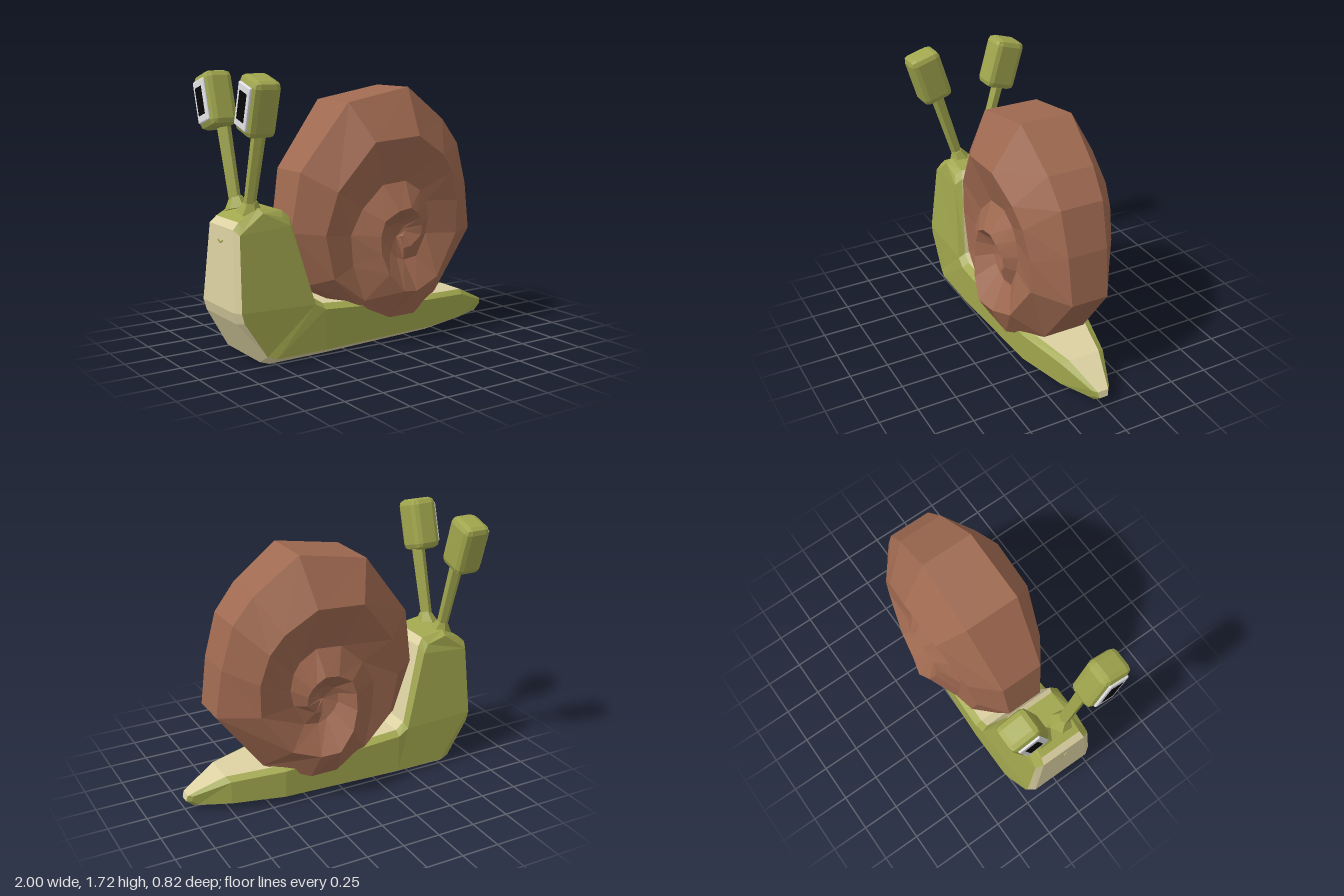
import * as THREE from 'three';
import { RoundedBoxGeometry } from 'three/addons/geometries/RoundedBoxGeometry.js';

const mat = (name, color) => new THREE.MeshStandardMaterial({ name, color, flatShading: true, side: THREE.DoubleSide });

// Collects faces; every face can be mirrored to the other side in z.
class Faces {
  constructor() { this.p = []; }
  tri(a, b, c) { this.p.push(...a, ...b, ...c); }
  quad(a, b, c, d) { this.tri(a, b, c); this.tri(a, c, d); }
  pair(...v) {
    const m = v.map(flip).reverse();
    if (v.length === 3) { this.tri(...v); this.tri(...m); } else { this.quad(...v); this.quad(...m); }
  }
  mesh(name, material) {
    const g = new THREE.BufferGeometry();
    g.setAttribute('position', new THREE.Float32BufferAttribute(this.p, 3));
    g.computeVertexNormals();
    const m = new THREE.Mesh(g, material);
    m.name = name;
    return m;
  }
}
const flip = ([x, y, z]) => [x, y, -z];

// Body outline: outer edge x, y; side panel x, y; half width
const BODY = [
  [-0.84, 0.02, -0.81, 0.055, 0.255], [-0.78, 0, -0.75, 0.035, 0.265],
  [-0.41, 0.005, -0.41, 0.038, 0.268], [0.4, 0.017, 0.4, 0.045, 0.235],
  [0.76, 0.025, 0.74, 0.045, 0.15], [0.95, 0.03, 0.93, 0.045, 0.06],
  [1, 0.07, 0.97, 0.07, 0.05], [0.99, 0.11, 0.96, 0.11, 0.06],
  [0.76, 0.22, 0.74, 0.195, 0.15], [0.4, 0.25, 0.4, 0.225, 0.235],
  [-0.41, 0.32, -0.41, 0.29, 0.268], [-0.47, 0.36, -0.48, 0.33, 0.262],
  [-0.6, 0.86, -0.62, 0.82, 0.21], [-0.64, 0.905, -0.66, 0.87, 0.19],
  [-0.8, 0.93, -0.79, 0.905, 0.19], [-0.93, 0.86, -0.92, 0.82, 0.19],
  [-0.97, 0.82, -0.95, 0.79, 0.2], [-1, 0.34, -0.97, 0.34, 0.25],
  [-0.98, 0.27, -0.955, 0.28, 0.25],
];
// side panel faces, tail to head, as indices into the outline
const SIDE = [
  [5, 6, 7], [4, 5, 7, 8], [3, 4, 8, 9], [2, 3, 9, 10], [1, 2, 10, 11], [0, 1, 11, 17],
  [0, 17, 18], [11, 12, 16, 17], [12, 13, 14, 16], [14, 15, 16],
];

function makeBody(green, cream) {
  const skin = new Faces(), belly = new Faces(), n = BODY.length;
  const outer = BODY.map(([x, y, , , w]) => [x, y, Math.max(w - 0.045, w * 0.6)]);
  const side = BODY.map(([, , x, y, w]) => [x, y, w]);
  for (let i = 0; i < n; i++) {
    const j = (i + 1) % n;
    // bevels are pale along the sole and the face, green elsewhere
    (i < 5 || i > 15 ? belly : skin).pair(outer[i], outer[j], side[j], side[i]);
    // only the crown of the head is green across the middle
    (i === 13 || i === 14 ? skin : belly).quad(outer[i], flip(outer[i]), flip(outer[j]), outer[j]);
  }
  for (const face of SIDE) skin.pair(...face.map((k) => side[k]));
  const g = new THREE.Group();
  g.name = 'body';
  g.add(skin.mesh('bodySkin', green), belly.mesh('bellyAndFoot', cream));
  return g;
}

// Shell: a spiral of three turns, thirteen stations each
const ANGLES = [-80, -50, -4, 23, 45, 60, 83, 112, 147, 175, 205, 234, 260];
const TURN = ANGLES.length;
const RADII = [
  0.01, 0.02, 0.03, 0.04, 0.05, 0.06, 0.07, 0.08, 0.1, 0.11, 0.12, 0.13, 0.15,
  0.17, 0.2, 0.2, 0.24, 0.28, 0.31, 0.34, 0.35, 0.34, 0.37, 0.39, 0.48, 0.53,
  0.53, 0.57, 0.66, 0.67, 0.76, 0.81, 0.925, 0.905, 0.785, 0.72, 0.66, 0.58, 0.53,
];
// crest of the two outer turns: radius and z
const RIDGE_R = [
  0.09, 0.1, 0.13, 0.14, 0.15, 0.16, 0.18, 0.18, 0.2, 0.2, 0.22, 0.27, 0.34,
  0.36, 0.38, 0.43, 0.47, 0.53, 0.57, 0.63, 0.65, 0.57, 0.55, 0.54, 0.52, 0.5,
];
const RIDGE_Z = [
  0.27, 0.28, 0.3, 0.31, 0.32, 0.33, 0.34, 0.34, 0.33, 0.33, 0.34, 0.365, 0.385,
  0.35, 0.32, 0.275, 0.28, 0.3, 0.32, 0.345, 0.335, 0.28, 0.25, 0.25, 0.25, 0.25,
];
const RIM_Z = [0.27, 0.14, 0.12, 0.13, 0.14, 0.15, 0.17, 0.18, 0.14, 0.12, 0.12, 0.12, 0.12];

function makeShell(brown) {
  const f = new Faces(), last = RADII.length - 1;
  const at = (i, r, z) => {
    const a = THREE.MathUtils.degToRad(ANGLES[i % TURN]);
    return [0.15 + r * Math.cos(a), 0.69 + r * Math.sin(a), z];
  };
  const rim = (i) => at(i, RADII[i], i >= 2 * TURN ? RIM_Z[i - 2 * TURN] : i >= 2 * TURN - 2 ? 0.27 : 0.25);
  const ridge = (i) => at(i, RIDGE_R[i - TURN], RIDGE_Z[i - TURN]);
  for (let i = TURN; i < last; i++) {
    f.pair(rim(i), rim(i + 1), ridge(i + 1), ridge(i));
    f.pair(ridge(i), ridge(i + 1), rim(i + 1 - TURN), rim(i - TURN));
    f.quad(rim(i), flip(rim(i)), flip(rim(i + 1)), rim(i + 1));
  }
  // hollow at the centre, closed along its seam
  const eye = [0.14, 0.67, 0.22];
  for (let i = 0; i < TURN; i++) f.pair(rim(i), rim(i + 1), eye);
  f.pair(eye, rim(TURN), ridge(TURN), rim(0));
  // closed mouth of the shell, down inside the body
  const groove = rim(last - TURN);
  f.quad(rim(last), ridge(last), flip(ridge(last)), flip(rim(last)));
  f.quad(ridge(last), groove, flip(groove), flip(ridge(last)));
  return f.mesh('shell', brown);
}

// Eye on its stalk, leaning outwards
function makeEye(s, green, silver, black) {
  const g = new THREE.Group();
  g.name = s > 0 ? 'leftEye' : 'rightEye';
  const add = (name, geo, m, x, y) => {
    const mesh = new THREE.Mesh(geo, m);
    mesh.name = name;
    mesh.position.set(x, y, 0);
    g.add(mesh);
  };
  add('eyeBlock', new RoundedBoxGeometry(0.18, 0.34, 0.21, 1, 0.04), green, 0.003, 0);
  add('eyeStalk', new THREE.CylinderGeometry(0.043, 0.036, 0.52, 6), green, 0.032, -0.41);
  add('stalkBase', new THREE.CylinderGeometry(0.037, 0.08, 0.08, 6), green, 0.04, -0.63);
  add('eyePlate', new RoundedBoxGeometry(0.02, 0.26, 0.145, 1, 0.009), silver, -0.09, 0);
  add('pupil', new THREE.BoxGeometry(0.006, 0.17, 0.085), black, -0.099, 0);
  g.position.set(-0.86, 1.54, s * 0.27);
  g.rotation.x = s * 0.29;
  return g;
}

export function createModel() {
  const green = mat('skin green', 0xa0a64d), cream = mat('belly cream', 0xdbd0a1);
  const brown = mat('shell brown', 0x9f6950), silver = mat('eye silver', 0xe4e4e8), black = mat('pupil black', 0x080808);
  const model = new THREE.Group();
  model.name = 'snail';
  model.add(makeBody(green, cream), makeShell(brown));
  for (const s of [1, -1]) {
    model.add(makeEye(s, green, silver, black));
    // small smile on the face
    const lip = new THREE.Mesh(new THREE.BoxGeometry(0.008, 0.01, 0.035), green);
    lip.name = 'mouth';
    lip.position.set(-0.976, 0.73, s * 0.014);
    lip.rotation.x = -s * 0.4;
    model.add(lip);
  }
  return model;
}
